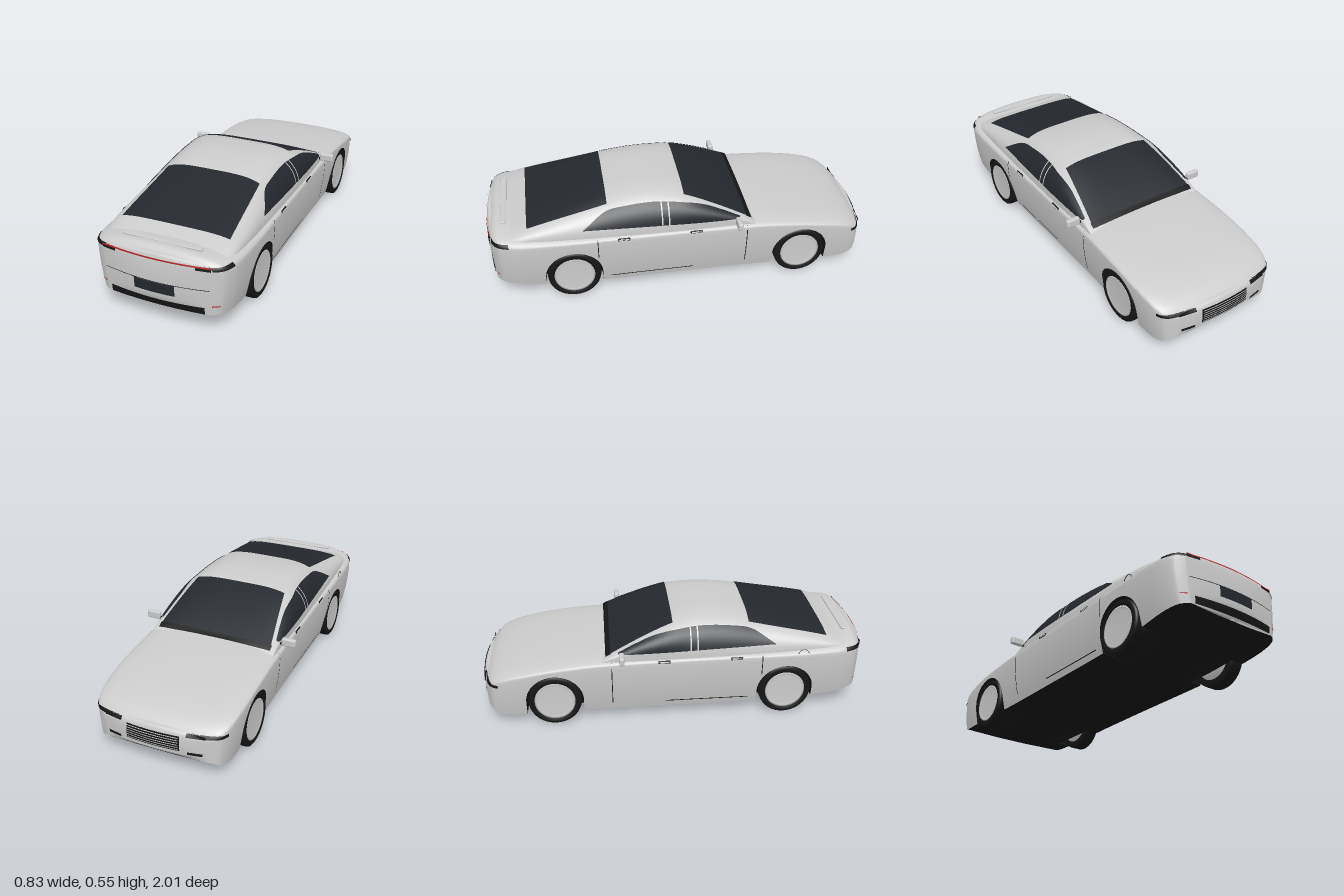
import * as THREE from 'three';
import { RoundedBoxGeometry } from 'three/addons/geometries/RoundedBoxGeometry.js';

const material = (color) => new THREE.MeshStandardMaterial({ color, side: THREE.DoubleSide });
const paint = material(0xcccccc), glass = material(0x24282e), black = material(0x161616), red = material(0xb02020);

// Smooth curve through [z, value] points
function curve(pts) {
  const slope = (i) => {
    const a = pts[Math.max(i - 1, 0)], b = pts[Math.min(i + 1, pts.length - 1)];
    return (b[1] - a[1]) / (b[0] - a[0]);
  };
  return (z) => {
    if (z <= pts[0][0]) return pts[0][1];
    let i = 0;
    while (i < pts.length - 2 && z > pts[i + 1][0]) i++;
    const [z0, v0] = pts[i], [z1, v1] = pts[i + 1], h = z1 - z0, t = Math.min((z - z0) / h, 1);
    return v0 * (1 + 2 * t) * (1 - t) ** 2 + slope(i) * h * t * (1 - t) ** 2
      + v1 * t * t * (3 - 2 * t) + slope(i + 1) * h * t * t * (t - 1);
  };
}

// Body: half width, centre height, shoulder height and sill height along z
const width = curve([[-0.965, 0.26], [-0.95, 0.295], [-0.92, 0.325], [-0.85, 0.345], [-0.7, 0.354], [-0.3, 0.352],
  [0.2, 0.353], [0.7, 0.356], [0.85, 0.35], [0.92, 0.33], [0.95, 0.305], [0.965, 0.275]]);
const top = curve([[-0.965, 0.245], [-0.94, 0.266], [-0.9, 0.287], [-0.8, 0.315], [-0.6, 0.345], [-0.36, 0.366],
  [0, 0.372], [0.5, 0.378], [0.8, 0.396], [0.9, 0.404], [0.95, 0.402], [0.965, 0.385]]);
const shoulder = curve([[-0.965, 0.205], [-0.9, 0.245], [-0.8, 0.275], [-0.6, 0.308], [-0.3, 0.325], [0.5, 0.335], [0.965, 0.34]]);
const sill = curve([[-0.965, 0.1], [-0.92, 0.07], [-0.86, 0.056], [0, 0.06], [0.5, 0.065], [0.72, 0.082], [0.965, 0.116]]);
const END = 0.965, ARCH = 0.146, AXLE_Y = 0.136, AXLES = [-0.62, 0.57];

const archAt = (z) => AXLES.find((a) => Math.abs(z - a) <= ARCH);
function lowerEdge(z) {
  const a = archAt(z);
  return a === undefined ? sill(z) : AXLE_Y + Math.sqrt(Math.max(0, ARCH ** 2 - (z - a) ** 2));
}
function bodyX(z, y) {
  const s = shoulder(z), w = width(z);
  if (y <= s) return w * (1 - 0.1 * ((s - y) / 0.27) ** 2);
  return w * (1 - Math.min(1, (y - s) / (top(z) - s)) ** 2.5) ** 0.4;
}
// Half outline of the body, q from 0 at the sill to 1 at the centre line
function outline(z, q) {
  const s = shoulder(z);
  if (q < 0.4) {
    const y = THREE.MathUtils.lerp(lowerEdge(z), s, q / 0.4);
    return [bodyX(z, y), y];
  }
  const a = (q - 0.4) / 0.6 * Math.PI / 2;
  return [width(z) * Math.max(0, Math.cos(a)) ** 0.8, s + (top(z) - s) * Math.sin(a) ** 0.8];
}
// Bowed end faces: dir is 1 for the tail and -1 for the nose
function endZ(dir, c, y) {
  const z = END * dir, f = THREE.MathUtils.clamp((y - sill(z)) / (top(z) - sill(z)), 0, 1);
  return z + dir * 0.033 * (1 - c * c) * (0.35 + 0.65 * Math.sqrt(4 * f * (1 - f)));
}

// Cabin: roof height, half width and corner squareness along z
const BELT = 0.34;
const roof = curve([[-0.37, 0.35], [-0.33, 0.379], [-0.17, 0.46], [-0.01, 0.525], [0.06, 0.538], [0.16, 0.545],
  [0.28, 0.537], [0.38, 0.52], [0.6, 0.468], [0.79, 0.42], [0.9, 0.385]]);
const cabinW = curve([[-0.37, 0.335], [0, 0.34], [0.4, 0.336], [0.8, 0.328], [0.9, 0.31]]);
const square = curve([[-0.3, 6], [-0.1, 4], [0.05, 2.5], [0.25, 2.1], [0.5, 2.4], [0.8, 4]]);
const cabinX = (z, y) => cabinW(z) * Math.max(0, 1 - Math.min(1, (y - BELT) / (roof(z) - BELT)) ** square(z)) ** 0.25;
const cabinY = (z, x) => BELT + (roof(z) - BELT) * Math.max(0, 1 - Math.abs(x / cabinW(z)) ** 4) ** (1 / square(z));

// Grid surface from f(u, v)
function surface(nu, nv, f) {
  const pos = [], index = [];
  for (let i = 0; i <= nu; i++) for (let j = 0; j <= nv; j++) pos.push(...f(i / nu, j / nv));
  for (let i = 0; i < nu; i++) for (let j = 0; j < nv; j++) {
    const a = i * (nv + 1) + j, b = a + nv + 1;
    index.push(a, a + 1, b, b, a + 1, b + 1);
  }
  const g = new THREE.BufferGeometry();
  g.setAttribute('position', new THREE.Float32BufferAttribute(pos, 3));
  g.setIndex(index);
  g.computeVertexNormals();
  return g;
}

export function createModel() {
  const car = new THREE.Group();
  car.name = 'car';
  const add = (name, geometry, mat, x = 0, y = 0, z = 0) => {
    const m = new THREE.Mesh(geometry, mat);
    m.name = name;
    m.position.set(x, y, z);
    car.add(m);
    return m;
  };
  const lerp = THREE.MathUtils.lerp;

  // Stations along the car, denser round the wheel arches
  const stations = [];
  for (let i = 0; i <= 64; i++) stations.push(lerp(-END, END, i / 64));
  for (const d of [-1, 1]) for (const e of [0.925, 0.94, 0.955]) stations.push(d * e);
  for (const a of AXLES) {
    for (let i = 0; i <= 20; i++) stations.push(a - Math.cos(i / 20 * Math.PI) * (ARCH - 1e-5));
    stations.push(a - ARCH - 0.0005, a + ARCH + 0.0005);
  }
  stations.sort((a, b) => a - b);
  const n = stations.length - 1;

  // Body shell and bowed ends
  add('bodyShell', surface(n, 48, (u, v) => {
    const z = stations[Math.round(u * n)], t = v * 2 - 1, [x, y] = outline(z, 1 - Math.abs(t));
    return [t < 0 ? -x : x, y, z];
  }), paint);
  for (const d of [-1, 1]) add(d < 0 ? 'nose' : 'tail', surface(30, 20, (u, v) => {
    const [x, y] = outline(d * END, u), c = v * 2 - 1;
    const rim = endZ(d, 0, y) - d * END;
    return [x * c, y, d * END + rim * (1 - c * c) * Math.min(1, (1 - u) * 12) * Math.min(1, 0.4 + u * 8)];
  }), paint);

  // Floor with wheel wells
  add('underbody', surface(n, 7, (u, v) => {
    const z = stations[Math.round(u * n)], k = Math.round(v * 7), i = k < 4 ? k : 7 - k, side = k < 4 ? -1 : 1;
    const e = lowerEdge(z), xe = bodyX(z, e), inner = archAt(z) === undefined ? xe : 0.25;
    const p = [[xe, e], [inner, e], [inner, sill(z)], [0.1, sill(z) - 0.006]][i];
    return [side * p[0], p[1], z];
  }), black);

  // Cabin with glass laid on its surface
  add('cabin', surface(60, 48, (u, v) => {
    const z = lerp(-0.37, 0.9, u), a = Math.PI * v, w = cabinW(z), c = Math.cos(a);
    const x = w * Math.sign(c) * Math.abs(c) ** 0.5;
    return [x, cabinY(z, x), z];
  }), paint);
  const screen = (name, z0, z1, x0, x1, mat) => add(name, surface(20, 20, (u, v) => {
    const z = lerp(z0, z1, u), x = lerp(x0, x1, u) * (2 * v - 1);
    return [x, cabinY(z, x) + 0.004, z];
  }), mat);
  screen('windscreen', -0.33, -0.01, 0.305, 0.25, glass);
  screen('rearWindow', 0.38, 0.785, 0.25, 0.278, glass);
  add('cowl', surface(2, 20, (u, v) => {
    const z = lerp(-0.355, -0.328, u), x = 0.31 * (2 * v - 1);
    return [x, Math.max(cabinY(z, x), outlineTop(z, x)) + 0.004, z];
  }), black);
  function outlineTop(z, x) {
    return shoulder(z) + (top(z) - shoulder(z)) * (1 - Math.abs(x / width(z)) ** 2.5) ** 0.4;
  }
  const glassTop = curve([[-0.29, 0.388], [-0.2, 0.428], [-0.1, 0.466], [0, 0.488], [0.15, 0.5], [0.3, 0.49], [0.4, 0.47], [0.51, 0.403]]);
  const glassLow = (z) => lerp(0.382, 0.4, (z + 0.29) / 0.8);

  // End face patch, and body side patch
  const endPatch = (name, d, x0, x1, y0, y1, mat, lift = 0.004) => add(name, surface(16, 2, (u, v) => {
    const x = lerp(x0, x1, u), y = lerp(y0, y1, v);
    return [x, y, endZ(d, Math.min(1, Math.abs(x) / bodyX(d * END, y)), y) + d * lift];
  }), mat);
  const sidePatch = (name, s, z0, z1, y0, y1, mat, lift = 0.002) => add(name, surface(8, 8, (u, v) => {
    const z = lerp(z0, z1, u), y = lerp(y0, y1, v);
    return [s * (bodyX(z, y) + lift), y, z];
  }), mat);

  for (const s of [-1, 1]) {
    const side = s > 0 ? 'left' : 'right';
    const window = (name, z0, z1, mat, lift) => add(side + name, surface(30, 8, (u, v) => {
      const z = lerp(z0, z1, u), y = lerp(glassLow(z), Math.max(glassLow(z), glassTop(z)), v);
      return [s * (cabinX(z, y) + lift), y, z];
    }), mat);
    window('SideWindows', -0.29, 0.51, glass, 0.004);
    for (const z of [0.073, 0.108]) window('PillarTrim', z, z + 0.007, paint, 0.006);

    // Seams, sill trim, handles and filler flap
    sidePatch(side + 'FrontDoorSeam', s, -0.328, -0.324, 0.1, 0.34, black);
    sidePatch(side + 'RearDoorSeam', s, 0.44, 0.444, 0.24, 0.36, black);
    sidePatch(side + 'SillTrim', s, -0.05, 0.38, 0.092, 0.097, black);
    for (const z of [-0.06, 0.31]) {
      add(side + 'HandleRecess', new RoundedBoxGeometry(0.008, 0.014, 0.062, 2, 0.003), black, s * 0.35, 0.338, z);
      add(side + 'DoorHandle', new RoundedBoxGeometry(0.01, 0.008, 0.052, 2, 0.003), paint, s * 0.351, 0.338, z);
    }
    const flap = add(side + 'RoundSeam', new THREE.TorusGeometry(0.027, 0.0015, 6, 28), black, s * 0.35, 0.345, 0.655);
    flap.rotation.y = Math.PI / 2;
    flap.visible = s < 0;

    // Door mirror
    add(side + 'Mirror', new RoundedBoxGeometry(0.074, 0.042, 0.026, 3, 0.009), paint, s * 0.379, 0.382, -0.275);
    add(side + 'MirrorArm', new THREE.BoxGeometry(0.04, 0.01, 0.014), black, s * 0.335, 0.37, -0.275);

    // Lamps wrapping round the corners
    sidePatch(side + 'TailLampCorner', s, 0.88, END, 0.347, 0.365, black, 0.003);
    endPatch(side + 'TailLamp', 1, s * 0.2, s * 0.272, 0.346, 0.365, black);
    sidePatch(side + 'HeadlampCorner', s, -END, -0.9, 0.222, 0.238, black, 0.003);
    endPatch(side + 'Headlamp', -1, s * 0.165, s * 0.256, 0.222, 0.238, black);
    sidePatch(side + 'Reflector', s, 0.943, 0.963, 0.159, 0.165, red, 0.003);

    // Wheels
    AXLES.forEach((z, i) => {
      const wheel = new THREE.Group();
      wheel.name = side + (i ? 'RearWheel' : 'FrontWheel');
      const profile = [[0.1, -0.04], [0.125, -0.04], [0.134, -0.034], [0.136, -0.025], [0.136, 0.025],
        [0.134, 0.034], [0.125, 0.04], [0.104, 0.038], [0.1, 0.03]].map((p) => new THREE.Vector2(...p));
      const tyre = new THREE.Mesh(new THREE.LatheGeometry(profile, 40), black);
      tyre.name = 'tyre';
      const disc = [[0, 0.034], [0.088, 0.034], [0.094, 0.038], [0.104, 0.038], [0.104, -0.035], [0, -0.035]];
      const rim = new THREE.Mesh(new THREE.LatheGeometry(disc.map((p) => new THREE.Vector2(...p)), 40), paint);
      rim.name = 'rim';
      wheel.add(tyre, rim);
      wheel.rotation.z = -s * Math.PI / 2;
      wheel.position.set(s * 0.308, 0.136, z);
      car.add(wheel);
    });
  }

  // Tail details
  endPatch('tailLightBar', 1, -0.272, 0.272, 0.359, 0.366, red, 0.006);
  endPatch('plateRecess', 1, -0.102, 0.102, 0.19, 0.246, glass);
  endPatch('bumperSeam', 1, -0.262, 0.262, 0.245, 0.248, black, 0.002);
  endPatch('diffuser', 1, -0.238, 0.238, 0.118, 0.155, black);
  add('bootLip', new RoundedBoxGeometry(0.4, 0.01, 0.03, 2, 0.004), paint, 0, 0.405, 0.9);

  // Grille and splitter
  endPatch('grille', -1, -0.135, 0.135, 0.145, 0.222, black);
  for (let i = 0; i < 6; i++) endPatch('grilleBar', -1, -0.13, 0.13, 0.152 + i * 0.012, 0.156 + i * 0.012, paint, 0.007);
  for (const s of [-1, 1]) endPatch('sideIntake', -1, s * 0.17, s * 0.24, 0.13, 0.145, black);
  add('splitter', surface(2, 20, (u, v) => {
    const c = v * 2 - 1;
    return [c * 0.24, lerp(0.118, 0.132, u), -0.955 - 0.045 * u * (1 - 0.5 * c * c)];
  }), paint);
  return car;
}
